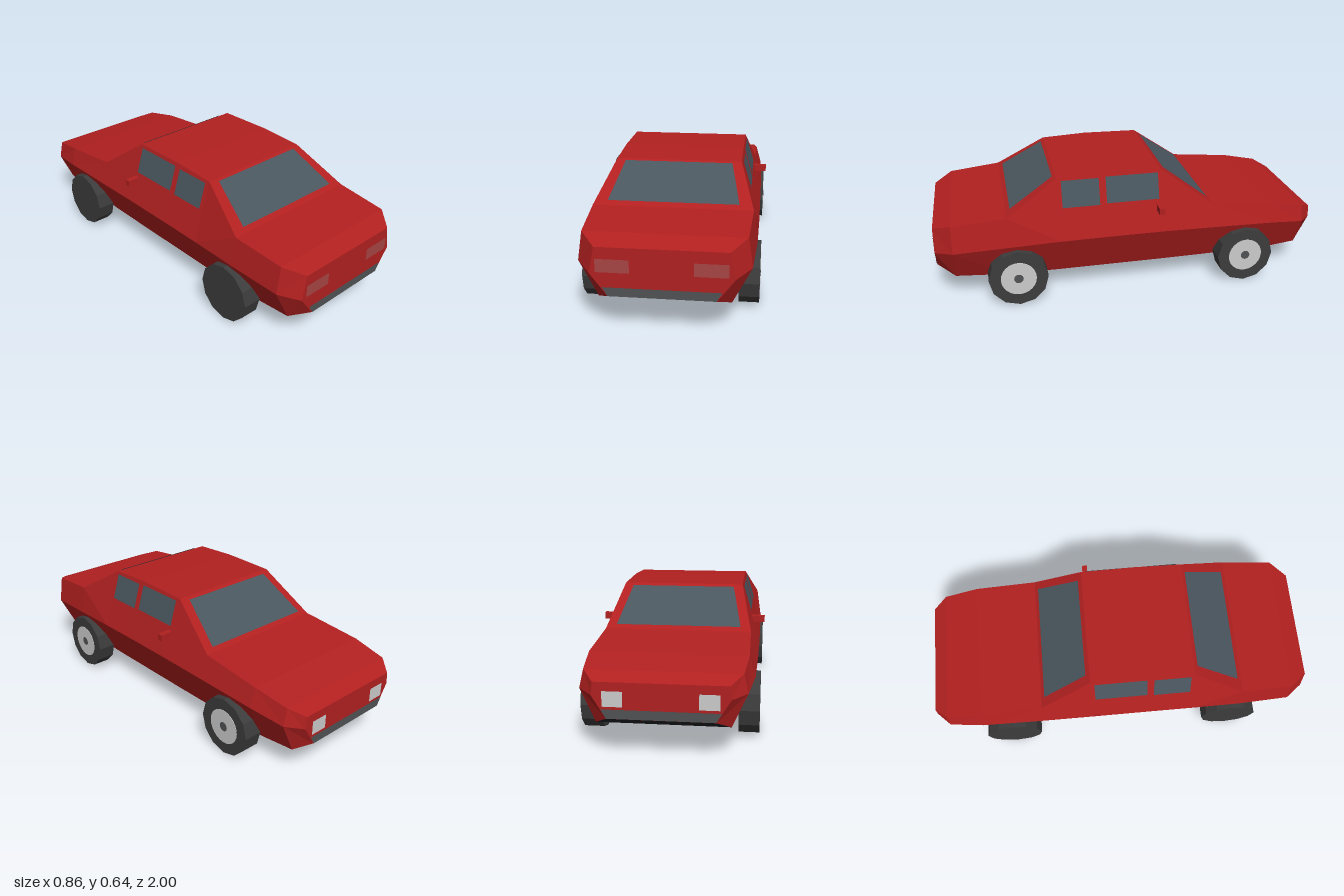
import * as THREE from 'three';

const mat = (color) => new THREE.MeshStandardMaterial({ color, flatShading: true, side: THREE.DoubleSide });
const paint = mat(0xb22020), under = mat(0x202224), glass = mat(0x4a565f), rubber = mat(0x3c3c3c);
const trim = mat(0x505254), tailRed = mat(0xa84444), light = mat(0xcccccc);

// Body sections: z, then height and half width of the top edge, belt line and sill
const sections = [
  [1.0, 0.41, 0.293, 0.287, 0.318, 0.18, 0.238],
  [0.91, 0.445, 0.366, 0.305, 0.387, 0.135, 0.3],
  [0.64, 0.47, 0.38, 0.32, 0.402, 0.12, 0.31],
  [0.38, 0.63, 0.31, 0.328, 0.405, 0.118, 0.31],
  [0.14, 0.642, 0.31, 0.33, 0.405, 0.118, 0.31],
  [-0.155, 0.637, 0.31, 0.33, 0.405, 0.118, 0.31],
  [-0.42, 0.445, 0.364, 0.325, 0.403, 0.12, 0.31],
  [-0.75, 0.412, 0.368, 0.315, 0.396, 0.124, 0.31],
  [-0.93, 0.38, 0.35, 0.293, 0.37, 0.138, 0.3],
  [-1.0, 0.345, 0.295, 0.285, 0.302, 0.18, 0.238],
];

// Counter-clockwise ring seen from +z
const ring = ([z, ty, tx, my, mx, by, bx]) => [
  [tx, ty, z], [-tx, ty, z], [-mx, my, z], [-bx, by, z], [bx, by, z], [mx, my, z],
];

function mesh(name, geometry, material) {
  const m = new THREE.Mesh(geometry, material);
  m.name = name;
  return m;
}

// Each polygon is a fan of flat triangles
function polygons(name, polys, material) {
  const pos = [];
  for (const p of polys)
    for (let i = 1; i < p.length - 1; i++) pos.push(...p[0], ...p[i], ...p[i + 1]);
  const g = new THREE.BufferGeometry();
  g.setAttribute('position', new THREE.Float32BufferAttribute(pos, 3));
  g.computeVertexNormals();
  return mesh(name, g, material);
}

function buildBody() {
  const rings = sections.map(ring);
  const shell = [rings[0], [...rings[rings.length - 1]].reverse()];
  const floor = [];
  for (let k = 0; k < rings.length - 1; k++) {
    const a = rings[k], b = rings[k + 1];
    for (let i = 0; i < 6; i++) {
      const j = (i + 1) % 6;
      // Start each side panel's diagonal at the mirrored corner
      const quad = i < 3 ? [a[i], b[i], b[j], a[j]] : [b[i], b[j], a[j], a[i]];
      (i === 3 ? floor : shell).push(quad);
    }
  }
  const body = new THREE.Group();
  body.name = 'body';
  body.add(polygons('bodyShell', shell, paint), polygons('underside', floor, under));
  return body;
}

// Sloping glass between two [y, z] points, wider at the bottom
function screen(name, top, bottom, s) {
  const [ty, tz] = top, [by, bz] = bottom;
  const p = [[-0.312, by, bz], [0.312, by, bz], [0.265, ty, tz], [-0.265, ty, tz]];
  return polygons(name, [s > 0 ? p : p.reverse()], glass);
}

// Side window lying on the cabin side
function sideWindow(name, z0, z1, y0, y1, s) {
  const x = (y) => s * (0.409 - (y - 0.33) * 0.306);
  const p = [[x(y0), y0, z0], [x(y0), y0, z1], [x(y1), y1, z1], [x(y1), y1, z0]];
  return polygons(name, [s > 0 ? p : p.reverse()], glass);
}

// Flat panel on an end face; w0 and w1 are the bottom and top x ranges
function endPanel(name, w0, w1, y0, y1, s, material) {
  const z = s * 1.002;
  const p = [[w0[0], y0, z], [w0[1], y0, z], [w1[1], y1, z], [w1[0], y1, z]];
  return polygons(name, [s > 0 ? p : p.reverse()], material);
}

function buildWheel(name, x, z) {
  const wheel = new THREE.Group();
  wheel.name = name;
  const disc = (part, r, depth, n, cx, material) => {
    const m = mesh(part, new THREE.CylinderGeometry(r, r, depth, n).rotateZ(Math.PI / 2), material);
    m.position.x = cx;
    wheel.add(m);
  };
  disc('tyre', 0.15, 0.097, 12, 0, rubber);
  disc('rim', 0.09, 0.004, 24, 0.0485, light);
  disc('hubCap', 0.024, 0.004, 12, 0.05, trim);
  wheel.position.set(x, 0.15, z);
  return wheel;
}

export function createModel() {
  const car = new THREE.Group();
  car.name = 'car';
  car.add(buildBody());

  // Glass
  car.add(screen('rearScreen', [0.625, 0.397], [0.489, 0.618], 1));
  car.add(screen('windscreen', [0.627, -0.176], [0.464, -0.402], -1));

  for (const s of [1, -1]) {
    const side = s > 0 ? 'left' : 'right';
    car.add(sideWindow(side + 'RearWindow', 0.36, 0.17, 0.49, 0.62, s));
    car.add(sideWindow(side + 'DoorWindow', 0.135, -0.135, 0.495, 0.624, s));

    // Door mirror
    const mirror = mesh(side + 'Mirror', new THREE.BoxGeometry(0.075, 0.034, 0.028), paint);
    mirror.position.set(s * 0.392, 0.453, -0.135);
    car.add(mirror);

    // Lamps
    const lamp = (a, b) => (s > 0 ? [a, b] : [-b, -a]);
    const t = lamp(0.14, 0.29), h = lamp(0.165, 0.255);
    car.add(endPanel(side + 'TailLight', t, t, 0.293, 0.355, 1, tailRed));
    car.add(endPanel(side + 'HeadLight', h, h, 0.235, 0.305, -1, light));

    // Bumper strip, one per end
    const strip = s > 0 ? 'tailBumper' : 'noseBumper';
    car.add(endPanel(strip, [-0.238, 0.238], [-0.262, 0.262], 0.181, 0.223, s, trim));

    // Wheels
    car.add(buildWheel(side + 'RearWheel', s * 0.37, 0.6));
    car.add(buildWheel(side + 'FrontWheel', s * 0.37, -0.6));
  }
  return car;
}
